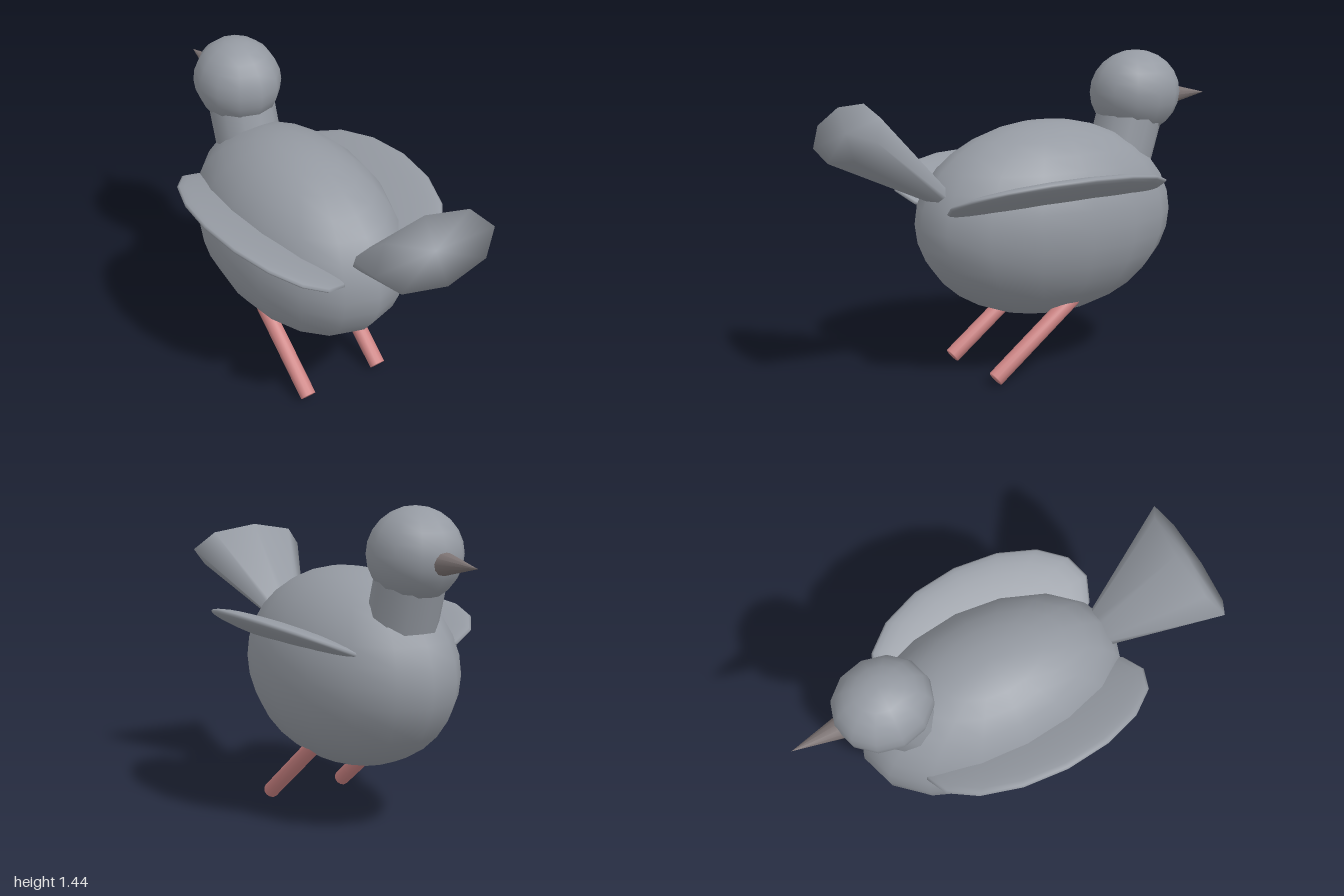
import * as THREE from 'three';
import { mergeVertices } from 'three/addons/utils/BufferGeometryUtils.js';

const UP = new THREE.Vector3(0, 1, 0);

function material(name, color) {
  const m = new THREE.MeshStandardMaterial({ color });
  m.name = name;
  return m;
}

// Low-poly ellipsoid with smooth normals
function ellipsoid(name, mat, segments, [rx, ry, rz], [x, y, z]) {
  const mesh = new THREE.Mesh(new THREE.SphereGeometry(1, segments, segments), mat);
  mesh.name = name;
  mesh.scale.set(rx, ry, rz);
  mesh.position.set(x, y, z);
  return mesh;
}

// Tapered rod from a to b, optionally flattened across its thickness
function rod(name, mat, a, b, ra, rb, sides, flat = 1, soft = false) {
  const from = new THREE.Vector3(...a), to = new THREE.Vector3(...b);
  const dir = to.clone().sub(from);
  let geo = new THREE.CylinderGeometry(rb, ra, dir.length(), sides);
  geo.scale(1, 1, flat);
  if (soft) {
    geo.deleteAttribute('uv');
    geo.deleteAttribute('normal');
    geo = mergeVertices(geo);
    geo.computeVertexNormals();
  }
  const mesh = new THREE.Mesh(geo, mat);
  mesh.name = name;
  mesh.position.copy(from).add(to).multiplyScalar(0.5);
  mesh.quaternion.setFromUnitVectors(UP, dir.normalize());
  return mesh;
}

export function createModel() {
  const bird = new THREE.Group();
  bird.name = 'bird';
  const grey = material('feather grey', 0x959aa2);
  const pink = material('leg pink', 0xcc8383);
  const brown = material('beak brown', 0x7d7474);

  // Body, neck and head
  bird.add(ellipsoid('body', grey, 16, [0.4, 0.45, 0.65], [0, 0.695, -0.073]));
  bird.add(rod('neck', grey, [0, 0.8, -0.44], [0, 1.2, -0.565], 0.155, 0.155, 12));
  bird.add(ellipsoid('head', grey, 12, [0.2, 0.2, 0.22], [0, 1.243, -0.575]));

  // Beak
  bird.add(rod('beak', brown, [0, 1.22, -0.75], [0, 1.22, -0.995], 0.056, 0, 12));

  // Fanned tail
  bird.add(rod('tail', grey, [0, 0.8, 0.42], [0, 1.15, 0.915], 0.058, 0.3, 8, 0.49, true));

  // Wings and legs, mirrored
  for (const side of [1, -1]) {
    const label = side > 0 ? 'left' : 'right';
    const wing = ellipsoid(label + 'Wing', grey, 16, [0.3, 0.045, 0.55], [side * 0.262, 0.835, 0.02]);
    wing.rotation.z = side * 0.4;
    bird.add(wing);
    bird.add(rod(label + 'Leg', pink, [side * 0.2, 0.033, 0.318], [side * 0.2, 0.365, -0.115], 0.037, 0.037, 12, 1, true));
  }
  return bird;
}
